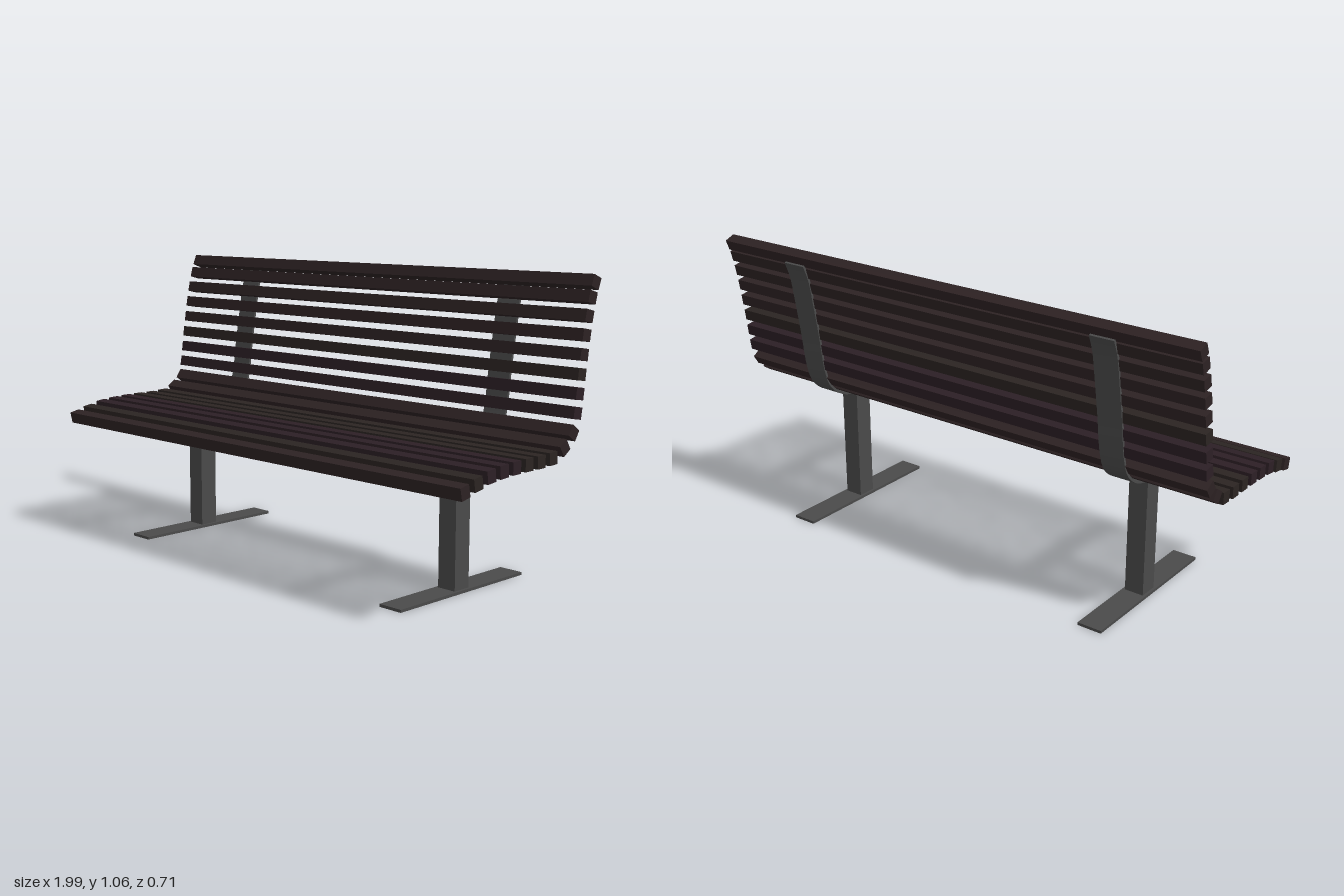
import * as THREE from 'three';
import { toCreasedNormals } from 'three/addons/utils/BufferGeometryUtils.js';

const steel = new THREE.MeshStandardMaterial({ name: 'dark steel', color: 0x4a4a4a });
const woods = [
  new THREE.MeshStandardMaterial({ name: 'dark brown wood', color: 0x2d2223 }),
  new THREE.MeshStandardMaterial({ name: 'plum brown wood', color: 0x2c1f25 }),
  new THREE.MeshStandardMaterial({ name: 'grey brown wood', color: 0x2b2422 }),
];

// Slats from seat front to backrest top: z, y, tilt in degrees, wood
const slats = [
  [0.33, 0.445, 12, 0], [0.268, 0.462, 9, 2], [0.206, 0.476, 6, 1],
  [0.144, 0.482, 3, 1], [0.082, 0.485, 1, 1], [0.019, 0.486, 0, 2],
  [-0.044, 0.486, 0, 2], [-0.107, 0.489, 3, 2], [-0.168, 0.515, 33, 0],
  [-0.214, 0.558, 57, 0], [-0.232, 0.62, 80, 1], [-0.241, 0.682, 82, 1],
  [-0.249, 0.744, 82, 2], [-0.259, 0.807, 81, 0], [-0.269, 0.869, 80, 0],
  [-0.281, 0.93, 77, 0], [-0.296, 0.989, 75, 0], [-0.313, 1.037, 68, 0],
];

// Outer line of the bent steel strap: z, y
const strapLine = [
  [0.33, 0.417], [0.243, 0.438], [0.13, 0.453], [0.06, 0.456], [-0.096, 0.456],
  [-0.166, 0.475], [-0.223, 0.521], [-0.25, 0.586], [-0.273, 0.735],
  [-0.293, 0.853], [-0.313, 0.958], [-0.335, 1.014],
];

// Flat bar that follows the seat and back, extruded sideways
function strapGeometry(width, thickness) {
  const curve = new THREE.CatmullRomCurve3(
    strapLine.map(([z, y]) => new THREE.Vector3(z, y, 0)), false, 'centripetal');
  const outer = [], inner = [];
  const steps = 48;
  for (let i = 0; i <= steps; i++) {
    const p = curve.getPointAt(i / steps);
    const t = curve.getTangentAt(i / steps);
    outer.push(new THREE.Vector2(p.x, p.y));
    inner.push(new THREE.Vector2(p.x + t.y * thickness, p.y - t.x * thickness));
  }
  const shape = new THREE.Shape([...outer, ...inner.reverse()]);
  const geometry = new THREE.ExtrudeGeometry(shape, { depth: width, bevelEnabled: false });
  geometry.translate(0, 0, -width / 2);
  geometry.rotateY(-Math.PI / 2);
  return toCreasedNormals(geometry, Math.PI / 5);
}

function addBox(parent, name, size, position, material) {
  const mesh = new THREE.Mesh(new THREE.BoxGeometry(...size), material);
  mesh.name = name;
  mesh.position.set(...position);
  parent.add(mesh);
  return mesh;
}

export function createModel() {
  const bench = new THREE.Group();
  bench.name = 'bench';

  // Wooden slats
  const slatGroup = new THREE.Group();
  slatGroup.name = 'slats';
  slats.forEach(([z, y, tilt, wood], i) => {
    const name = i < 9 ? 'seatSlat' : 'backSlat';
    const slat = addBox(slatGroup, name, [1.992, 0.042, 0.04], [-0.002, y, z], woods[wood]);
    slat.rotation.x = THREE.MathUtils.degToRad(tilt);
  });
  bench.add(slatGroup);

  // Two steel frames: floor plate, post and bent strap
  const strapShape = strapGeometry(0.092, 0.009);
  for (const [side, x] of [['right', -0.656], ['left', 0.65]]) {
    const frame = new THREE.Group();
    frame.name = side + 'Frame';
    frame.position.x = x;
    addBox(frame, 'floorPlate', [0.092, 0.01, 0.631], [0, 0.005, -0.0395], steel);
    addBox(frame, 'post', [0.072, 0.448, 0.072], [0, 0.234, -0.039], steel);
    const strap = new THREE.Mesh(strapShape, steel);
    strap.name = 'strap';
    frame.add(strap);
    bench.add(frame);
  }
  return bench;
}
